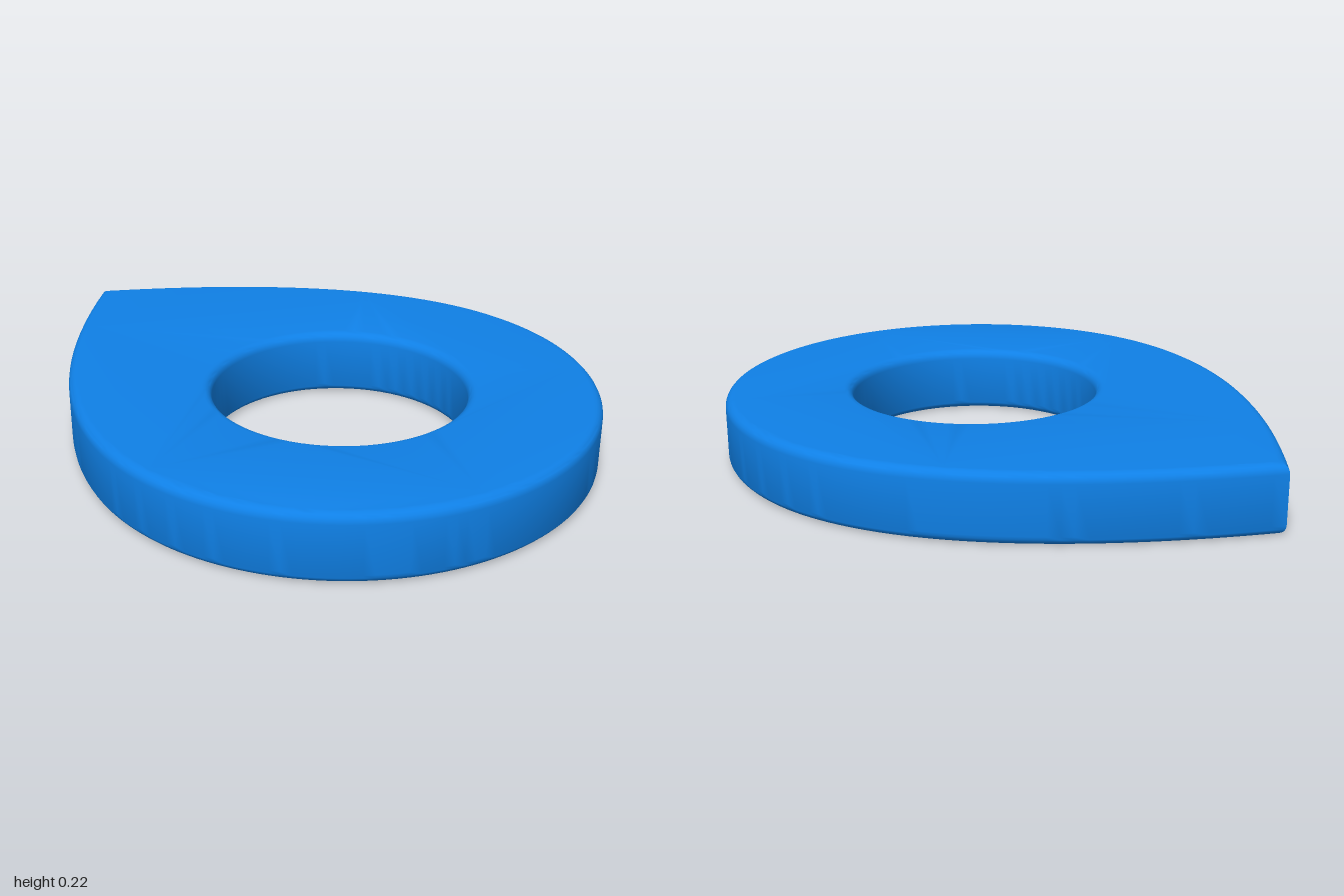
import * as THREE from 'three';
import { toCreasedNormals } from 'three/addons/utils/BufferGeometryUtils.js';

const HEIGHT = 0.215, BEVEL = 0.03;
const RADIUS = 0.81, HOLE_RADIUS = 0.4, CENTRE_Z = 0.185;

// Teardrop outline: half circle at the front, two curves meeting in a point at the back
function teardropShape() {
  const shape = new THREE.Shape();
  shape.moveTo(0, -1);
  shape.bezierCurveTo(0.5, -0.63, RADIUS, -0.22, RADIUS, CENTRE_Z);
  shape.absarc(0, CENTRE_Z, RADIUS, 0, Math.PI, false);
  shape.bezierCurveTo(-RADIUS, -0.22, -0.5, -0.63, 0, -1);

  // Round hole concentric with the front arc
  const hole = new THREE.Path();
  hole.absarc(0, CENTRE_Z, HOLE_RADIUS, 0, Math.PI * 2, true);
  shape.holes.push(hole);
  return shape;
}

export function createModel() {
  const group = new THREE.Group();
  group.name = 'teardropRing';

  // Flat plate with rounded rims on the outer edge and the hole
  const plate = new THREE.ExtrudeGeometry(teardropShape(), {
    depth: HEIGHT - 2 * BEVEL,
    bevelEnabled: true,
    bevelThickness: BEVEL,
    bevelSize: BEVEL,
    bevelOffset: -BEVEL,
    bevelSegments: 5,
    curveSegments: 40,
  });
  plate.rotateX(Math.PI / 2);
  plate.translate(0, HEIGHT - BEVEL, 0);

  const mesh = new THREE.Mesh(
    toCreasedNormals(plate, 0.6),
    new THREE.MeshStandardMaterial({ color: 0x0f80e6 })
  );
  mesh.name = 'teardropPlate';
  group.add(mesh);
  return group;
}
